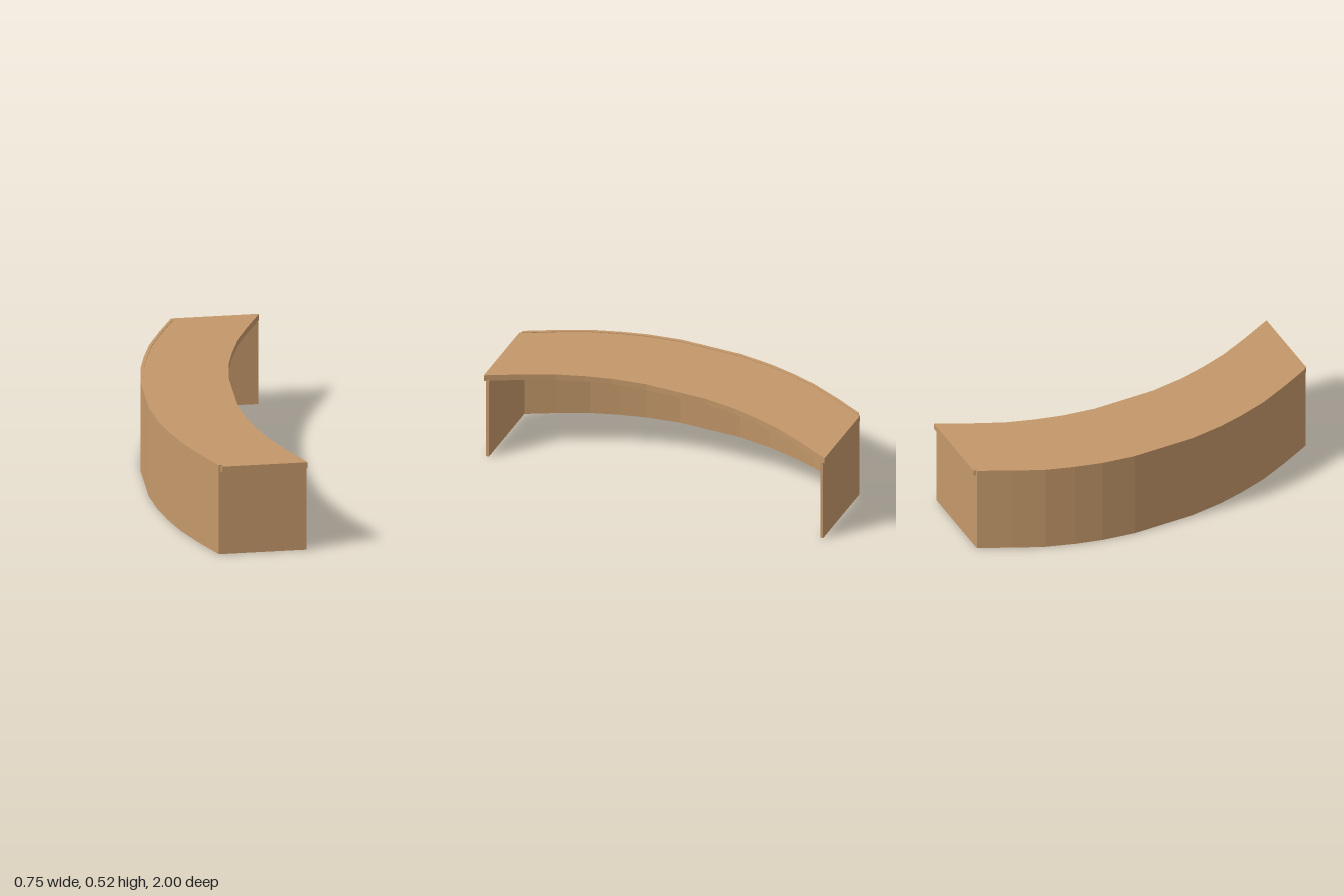
import * as THREE from 'three';

const wood = new THREE.MeshStandardMaterial({ color: 0xc4986a, flatShading: true });

// Half of the faceted bow: [x offset from the middle, z]
const bow = [[0, 0.175], [0.026, 0.36], [0.062, 0.505], [0.11, 0.655], [0.185, 0.82]];

// Full bow from z = -endZ to z = +endZ, starting at x0 in the middle
function bowLine(x0, endOffset, endZ) {
  const half = [...bow, [endOffset, endZ]];
  const full = [...half.map(([x, z]) => [x, -z]).reverse(), ...half];
  return full.map(([x, z]) => new THREE.Vector2(x0 + x, z));
}

// Upright solid between two parallel bows
function bowedSlab(name, xOuter, xInner, endOffset, endZ, y0, y1) {
  const outline = [
    ...bowLine(xOuter, endOffset, endZ),
    ...bowLine(xInner, endOffset, endZ).reverse(),
  ];
  const geometry = new THREE.ExtrudeGeometry(new THREE.Shape(outline), {
    depth: y1 - y0, bevelEnabled: false,
  });
  geometry.rotateX(-Math.PI / 2).translate(0, y0, 0);
  const mesh = new THREE.Mesh(geometry, wood);
  mesh.name = name;
  return mesh;
}

export function createModel() {
  const desk = new THREE.Group();
  desk.name = 'curvedDesk';

  // Worktop, running slightly past the end panels
  desk.add(bowedSlab('worktop', -0.364, 0.1, 0.275, 1, 0.48, 0.515));

  // Modesty panel around the outer bow, just proud of the worktop
  desk.add(bowedSlab('curvedPanel', -0.375, -0.357, 0.27, 0.987, 0, 0.519));

  // Flat end panels
  for (const side of [1, -1]) {
    const panel = new THREE.Mesh(new THREE.BoxGeometry(0.472, 0.48, 0.016), wood);
    panel.name = side > 0 ? 'frontEndPanel' : 'backEndPanel';
    panel.position.set(0.133, 0.24, side * 0.981);
    desk.add(panel);
  }
  return desk;
}
